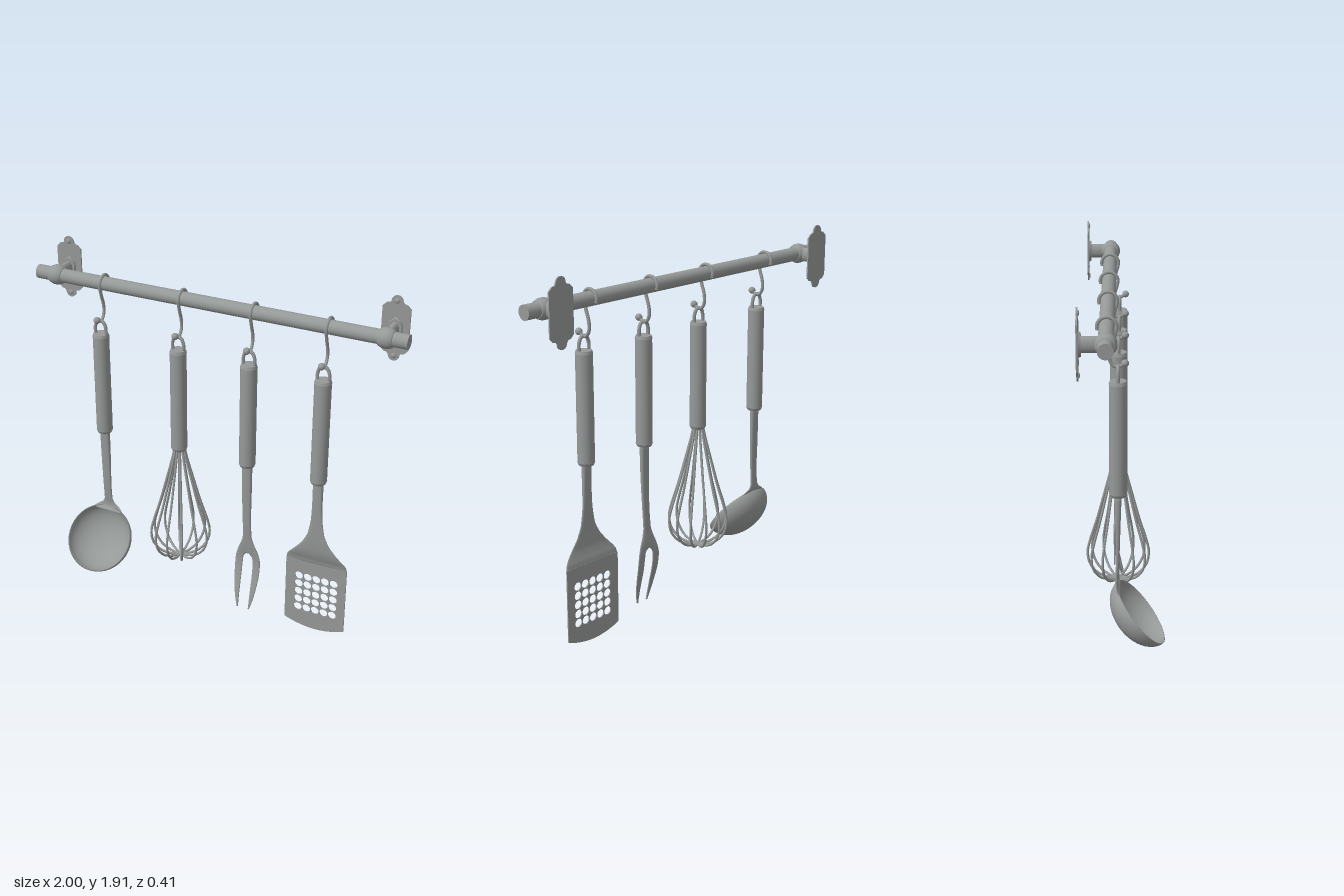
import * as THREE from 'three';

const steel = new THREE.MeshStandardMaterial({ color: 0x959998, side: THREE.DoubleSide });
steel.name = 'brushed steel';
const RAIL_Y = 1.745, RAIL_Z = -0.077, TOOL_Z = -0.026;
const V = (x, y, z) => new THREE.Vector3(x, y, z);

function add(parent, name, geometry, x = 0, y = 0, z = 0) {
  const mesh = new THREE.Mesh(geometry, steel);
  mesh.name = name;
  mesh.position.set(x, y, z);
  parent.add(mesh);
  return mesh;
}

const wire = (points, radius, segments) =>
  new THREE.TubeGeometry(new THREE.CatmullRomCurve3(points), segments, radius, 8);

// Smooth flattened bar through sections [x, y, z, halfWidth, halfThickness], listed downwards
function bar(sections, steps = 6, sides = 20) {
  const path = new THREE.CatmullRomCurve3(sections.map(s => V(s[0], s[1], s[2])));
  const size = new THREE.CatmullRomCurve3(sections.map(s => V(s[3], s[4], 0)));
  const rows = (sections.length - 1) * steps, pos = [], index = [];
  const soft = v => Math.sign(v) * Math.pow(Math.abs(v), 0.7);
  for (let i = 0; i <= rows; i++) {
    const p = path.getPoint(i / rows), s = size.getPoint(i / rows);
    for (let j = 0; j < sides; j++) {
      const a = j / sides * Math.PI * 2;
      pos.push(p.x + soft(Math.cos(a)) * s.x, p.y, p.z + soft(Math.sin(a)) * s.y);
      if (i < rows) {
        const k = (j + 1) % sides, r = i * sides, n = r + sides;
        index.push(r + j, r + k, n + j, r + k, n + k, n + j);
      }
    }
  }
  for (let j = 1; j < sides - 1; j++) {
    const e = rows * sides;
    index.push(0, j + 1, j, e, e + j, e + j + 1);
  }
  const g = new THREE.BufferGeometry();
  g.setAttribute('position', new THREE.Float32BufferAttribute(pos, 3));
  g.setIndex(index);
  g.computeVertexNormals();
  return g;
}

// Wall plate, arm and collar holding the rail
function makeBracket(x) {
  const g = new THREE.Group();
  g.name = 'bracket';
  g.position.set(x, RAIL_Y, 0);
  const s = new THREE.Shape();
  s.moveTo(0.07, -0.105);
  s.lineTo(0.07, 0.105);
  s.lineTo(0.05, 0.125);
  s.quadraticCurveTo(0.03, 0.125, 0.029, 0.14);
  s.absarc(0, 0.138, 0.028, 0, Math.PI);
  s.quadraticCurveTo(-0.03, 0.125, -0.05, 0.125);
  s.lineTo(-0.07, 0.105);
  s.lineTo(-0.07, -0.105);
  s.lineTo(-0.05, -0.125);
  s.quadraticCurveTo(-0.03, -0.125, -0.029, -0.14);
  s.absarc(0, -0.138, 0.028, Math.PI, Math.PI * 2);
  s.quadraticCurveTo(0.03, -0.125, 0.05, -0.125);
  add(g, 'wallPlate', new THREE.ExtrudeGeometry(s, { depth: 0.008, bevelEnabled: false }), 0, 0, -0.204);
  for (const y of [-0.14, 0.14]) {
    add(g, 'screw', new THREE.SphereGeometry(0.014, 12, 8), 0, y, -0.196).scale.z = 0.5;
  }
  const flange = add(g, 'flange', new THREE.CylinderGeometry(0.055, 0.06, 0.012, 6), 0, 0, -0.19);
  flange.rotation.x = Math.PI / 2;
  flange.scale.x = 0.7;
  const arm = add(g, 'arm', new THREE.CylinderGeometry(0.037, 0.037, 0.12, 24), 0, 0, -0.137);
  arm.rotation.x = Math.PI / 2;
  arm.scale.x = 0.6;
  const profile = [[0.036, -0.036], [0.043, -0.034], [0.051, -0.012], [0.051, 0.012], [0.043, 0.034], [0.036, 0.036]];
  const collar = add(g, 'collar', new THREE.LatheGeometry(profile.map(p => new THREE.Vector2(...p)), 28), 0, 0, RAIL_Z);
  collar.rotation.z = Math.PI / 2;
  return g;
}

// Hook, hanging loop and grip shared by every tool
function makeTool(name, x) {
  const g = new THREE.Group();
  g.name = name;
  g.position.x = x;
  const pts = [];
  for (let i = 0; i <= 7; i++) {
    const a = (200 - i * 28) * Math.PI / 180;
    pts.push(V(0, RAIL_Y + Math.sin(a) * 0.045, RAIL_Z + Math.cos(a) * 0.045));
  }
  pts.push(V(0, 1.69, -0.046), V(0, 1.64, -0.063), V(0, 1.595, -0.066), V(0, 1.563, -0.048),
    V(0, 1.557, -0.025), V(0, 1.572, 0.003));
  add(g, 'hook', wire(pts, 0.0085, 70));
  add(g, 'hookBall', new THREE.SphereGeometry(0.018, 16, 12), 0, 1.574, 0.006);
  add(g, 'hangingLoop', wire([V(-0.03, 1.48, TOOL_Z), V(-0.03, 1.525, TOOL_Z), V(-0.018, 1.552, TOOL_Z),
    V(0, 1.56, TOOL_Z), V(0.018, 1.552, TOOL_Z), V(0.03, 1.525, TOOL_Z), V(0.03, 1.48, TOOL_Z)], 0.009, 36));
  const cyl = (part, top, bottom, y0, y1) =>
    add(g, part, new THREE.CylinderGeometry(top, bottom, y1 - y0, 28), 0, (y0 + y1) / 2, TOOL_Z);
  cyl('grip', 0.0425, 0.0425, 0.935, 1.475);
  cyl('topCap', 0.039, 0.0435, 1.475, 1.49);
  cyl('bottomCap', 0.0435, 0.037, 0.92, 0.935);
  return g;
}

function makeLadle() {
  const g = makeTool('ladle', -0.617);
  add(g, 'ladleStem', bar([[0, 0.93, -0.026, 0.027, 0.016], [0, 0.75, -0.028, 0.026, 0.012], [0, 0.58, -0.03, 0.023, 0.008],
    [0, 0.5, -0.035, 0.024, 0.006], [0, 0.47, -0.037, 0.037, 0.005], [0, 0.45, -0.034, 0.068, 0.004],
    [0, 0.43, -0.02, 0.092, 0.003]]));
  const profile = [];
  for (let i = 0; i <= 14; i++) {
    const a = i / 14 * Math.PI / 2;
    profile.push(new THREE.Vector2(0.187 * Math.sin(a), -0.125 * Math.cos(a)));
  }
  for (let i = 14; i >= 0; i--) {
    const a = i / 14 * Math.PI / 2;
    profile.push(new THREE.Vector2(0.182 * Math.sin(a), -0.119 * Math.cos(a)));
  }
  add(g, 'ladleBowl', new THREE.LatheGeometry(profile, 40), 0, 0.307, 0.084).rotation.x = 0.892;
  return g;
}

function makeWhisk() {
  const g = makeTool('whisk', -0.172);
  const side = [[0.022, 0.94], [0.042, 0.85], [0.068, 0.75], [0.108, 0.6], [0.142, 0.49], [0.157, 0.42],
    [0.147, 0.35], [0.105, 0.295], [0.05, 0.27]];
  const loop = [...side.map(([r, y]) => V(r, y, 0)), V(0, 0.266, 0), ...side.map(([r, y]) => V(-r, y, 0)).reverse()];
  const geometry = wire(loop, 0.0065, 60);
  for (let i = 0; i < 6; i++) add(g, 'whiskWire', geometry, 0, 0, TOOL_Z - 0.004).rotation.y = i * Math.PI / 6;
  return g;
}

function makeFork() {
  const g = makeTool('fork', 0.217);
  add(g, 'forkStem', bar([[0, 0.93, -0.026, 0.027, 0.016], [0, 0.75, -0.028, 0.026, 0.012], [0, 0.58, -0.034, 0.023, 0.008],
    [0, 0.48, -0.042, 0.025, 0.006], [0, 0.43, -0.047, 0.039, 0.006], [0, 0.395, -0.051, 0.054, 0.006],
    [0, 0.37, -0.053, 0.061, 0.005]]));
  // Tine rows: y, z, inner edge, outer edge
  const tine = [[0.39, -0.051, 0.004, 0.056], [0.37, -0.053, 0.006, 0.062], [0.35, -0.054, 0.023, 0.067],
    [0.32, -0.054, 0.028, 0.071], [0.25, -0.045, 0.03, 0.071], [0.17, -0.026, 0.03, 0.063], [0.1, -0.01, 0.03, 0.05],
    [0.05, 0, 0.03, 0.036]];
  for (const s of [-1, 1]) {
    add(g, 'forkTine', bar(tine.map(([y, z, a, b]) => [s * (a + b) / 2, y, z, (b - a) / 2, 0.005])));
  }
  return g;
}

function makeSpatula() {
  const g = makeTool('spatula', 0.607);
  add(g, 'spatulaStem', bar([[0, 0.93, -0.026, 0.027, 0.016], [0, 0.8, -0.026, 0.027, 0.012], [0, 0.7, -0.027, 0.031, 0.008],
    [0, 0.61, -0.028, 0.046, 0.006], [0, 0.55, -0.03, 0.075, 0.005], [0, 0.5, -0.034, 0.115, 0.004],
    [0, 0.465, -0.042, 0.146, 0.004], [0, 0.44, -0.05, 0.163, 0.0035], [0, 0.415, -0.055, 0.168, 0.003]]));
  // Slotted blade with a curved lower edge
  const s = new THREE.Shape();
  s.moveTo(-0.168, 0.42);
  s.lineTo(-0.168, 0.035);
  s.quadraticCurveTo(0, -0.035, 0.168, 0.035);
  s.lineTo(0.168, 0.42);
  for (let i = 0; i < 5; i++) for (let j = 0; j < 5; j++) {
    const hole = new THREE.Path();
    hole.absarc((i - 2) * 0.0485 + 0.003, 0.12 + j * 0.0493, 0.0225, 0, Math.PI * 2, true);
    s.holes.push(hole);
  }
  add(g, 'spatulaBlade', new THREE.ExtrudeGeometry(s, { depth: 0.006, bevelEnabled: false, curveSegments: 10 }), 0, 0, -0.058);
  return g;
}

export function createModel() {
  const model = new THREE.Group();
  model.name = 'utensilRack';
  add(model, 'rail', new THREE.CylinderGeometry(0.036, 0.036, 2, 32), 0, RAIL_Y, RAIL_Z).rotation.z = Math.PI / 2;
  model.add(makeBracket(-0.89), makeBracket(0.89), makeLadle(), makeWhisk(), makeFork(), makeSpatula());
  return model;
}
